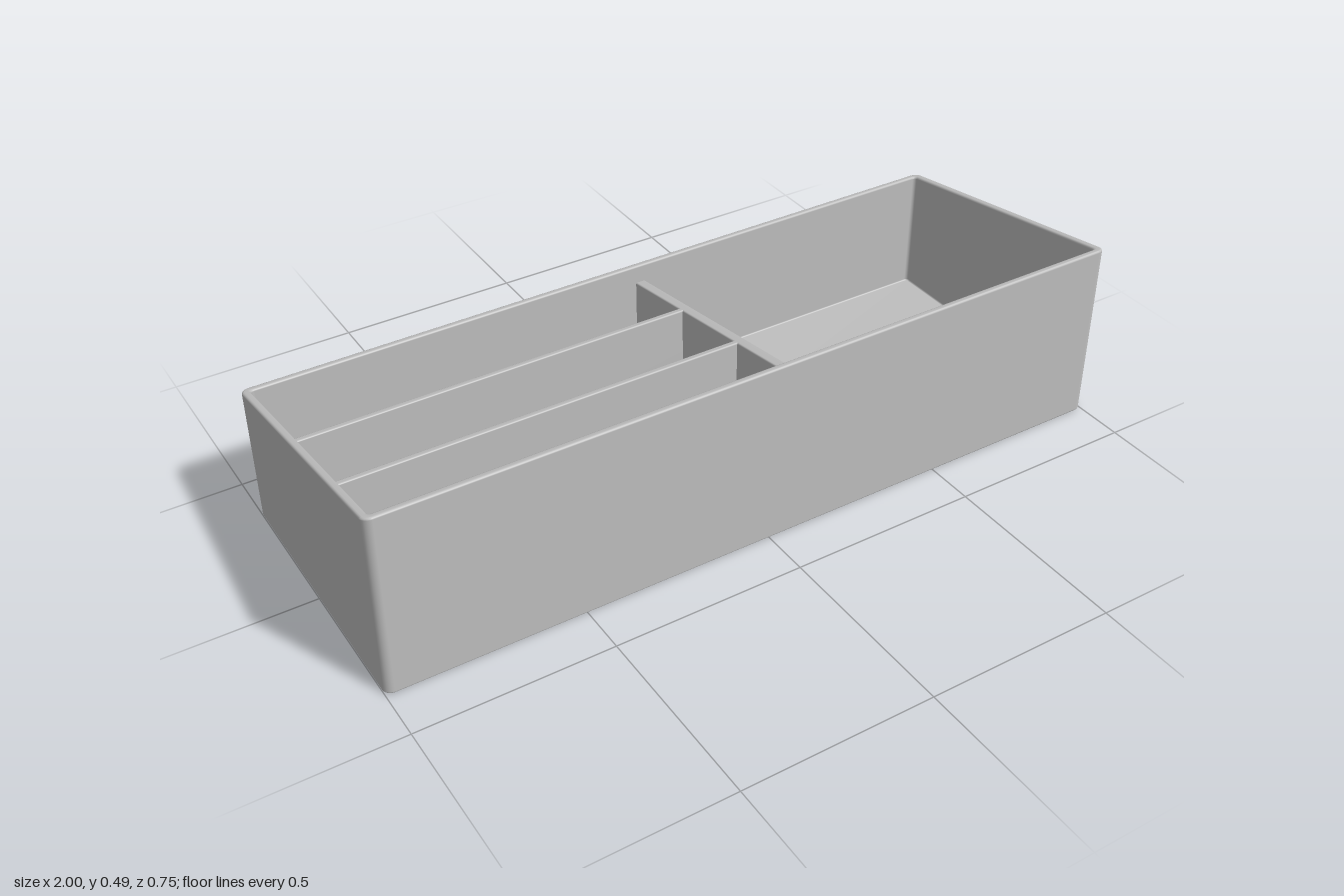
import * as THREE from 'three';

// The rim is a plane that rises towards the front
const SLOPE = 0.168, MID = 0.4275;
const FLOOR = 0.03, WALL = 0.02;

// Points of a rounded rectangle in x,z
function outline(cx, cz, hw, hd, r, steps = 6) {
  const points = [];
  [[1, 1], [-1, 1], [-1, -1], [1, -1]].forEach(([sx, sz], k) => {
    for (let i = 0; i <= steps; i++) {
      const a = (k + i / steps) * Math.PI / 2;
      points.push([cx + sx * (hw - r) + r * Math.cos(a), cz + sz * (hd - r) + r * Math.sin(a)]);
    }
  });
  return points;
}

// Joins rounded rectangles; each ring is [inset, y, measuredFromRimPlane]
function loft({ cx = 0, cz = 0, hw, hd, radius, minRadius }, rings) {
  const position = [], index = [];
  let n = 0;
  const put = (x, z, y, sloped) => position.push(x, sloped ? MID + SLOPE * z + y : y, z);
  for (const [inset, y, sloped] of rings) {
    const points = outline(cx, cz, hw - inset, hd - inset, Math.max(radius - inset, minRadius));
    n = points.length;
    points.forEach(([x, z]) => put(x, z, y, sloped));
  }
  const last = (rings.length - 1) * n, base = rings.length * n;
  put(cx, cz, rings[0][1], rings[0][2]);
  put(cx, cz, rings.at(-1)[1], rings.at(-1)[2]);
  for (let i = 0; i < n; i++) {
    const j = (i + 1) % n;
    for (let o = 0; o < last; o += n) {
      index.push(o + i, o + n + i, o + j, o + j, o + n + i, o + n + j);
    }
    index.push(base, i, j, base + 1, last + j, last + i);
  }
  const geometry = new THREE.BufferGeometry();
  geometry.setAttribute('position', new THREE.Float32BufferAttribute(position, 3));
  geometry.setIndex(index);
  geometry.computeVertexNormals();
  return geometry;
}

// Quarter-round edge from [inset, y], stepping by angle
function fillet(inset, y, r, from, sloped) {
  return [0, 1, 2, 3].map((i) => {
    const a = from + i * Math.PI / 6;
    return [inset - r * Math.cos(a), y + r * Math.sin(a), sloped];
  });
}

export function createModel() {
  const model = new THREE.Group();
  model.name = 'deskTray';
  const grey = new THREE.MeshStandardMaterial({ color: 0xbfbfbf });
  grey.name = 'light grey';

  const add = (name, geometry) => {
    const mesh = new THREE.Mesh(geometry, grey);
    mesh.name = name;
    model.add(mesh);
  };

  // Outer shell: underside, walls, rounded rim, inside walls and floor
  const r = 0.006;
  add('trayShell', loft({ hw: 1, hd: 0.3725, radius: 0.022, minRadius: 0.01 }, [
    ...fillet(r, r, r, -Math.PI / 2, false),
    ...fillet(r, -r, r, 0, true),
    ...fillet(WALL - r, -r, r, Math.PI / 2, true),
    [WALL, FLOOR + 0.004, false],
    [WALL + 0.001, FLOOR + 0.001, false],
    [WALL + 0.004, FLOOR, false],
  ]));

  // Dividers stop a little below the rim and follow its slope
  const divider = (name, x0, x1, z0, z1) => {
    const e = 0.004;
    add(name, loft({
      cx: (x0 + x1) / 2, cz: (z0 + z1) / 2, hw: (x1 - x0) / 2, hd: (z1 - z0) / 2,
      radius: 0.005, minRadius: 0.001,
    }, [[0, FLOOR - 0.01, false], ...fillet(e, -0.05 - e, e, 0, true)]));
  };
  divider('crossDivider', 0.065, 0.092, -0.362, 0.362);
  divider('rearDivider', -0.99, 0.078, -0.142, -0.124);
  divider('frontDivider', -0.99, 0.078, 0.104, 0.122);

  return model;
}
